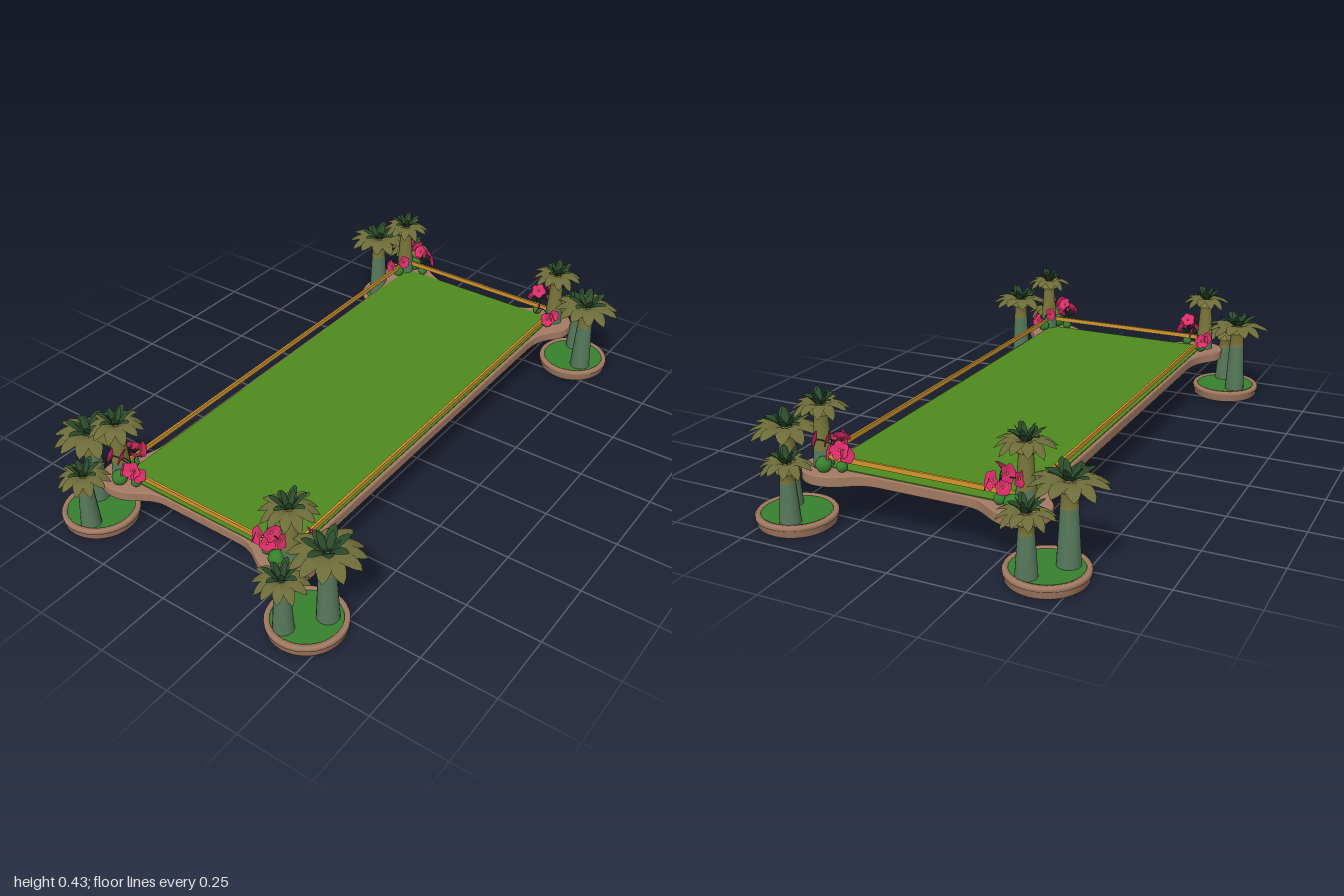
import * as THREE from 'three';
import { mergeGeometries } from 'three/addons/utils/BufferGeometryUtils.js';

function material(name, color, doubleSided = false) {
  const m = new THREE.MeshStandardMaterial({ color });
  m.name = name;
  if (doubleSided) m.side = THREE.DoubleSide;
  return m;
}

const mats = {
  wood: material('brown wood', 0xa27a62),
  darkWood: material('dark underside', 0x65493a),
  lawn: material('lawn green', 0x4f8a1e),
  grass: material('planter grass', 0x37802e),
  rail: material('golden rail', 0xd2962e),
  trunk: material('grey green trunk', 0x56785a),
  bark: material('olive bark', 0x7b773c),
  leaf: material('olive leaf', 0x6d6d3a, true),
  darkLeaf: material('dark leaf', 0x2b4a2a, true),
  petal: material('pink petal', 0xdc2c6a, true),
};

function add(parent, name, geometry, mat, x = 0, y = 0, z = 0) {
  const mesh = new THREE.Mesh(geometry, mat);
  mesh.name = name;
  mesh.position.set(x, y, z);
  parent.add(mesh);
  return mesh;
}

// Folded blade along +x that rises, then droops toward its rounded tip
function blade(length, width, rise, droop, fold = 0.15) {
  const n = 8, pos = [], idx = [];
  for (let i = 0; i <= n; i++) {
    const t = i / n;
    const w = 0.5 * width * Math.pow(Math.abs(Math.sin(Math.PI * (0.05 + 0.95 * Math.pow(t, 1.1)))), 0.6);
    const y = rise * t - droop * t * t;
    pos.push(length * t, y - w * fold, -w, length * t, y, 0, length * t, y - w * fold, w);
    if (i < n) for (const k of [0, 1]) {
      const a = i * 3 + k;
      idx.push(a, a + 1, a + 3, a + 1, a + 4, a + 3);
    }
  }
  const g = new THREE.BufferGeometry();
  g.setAttribute('position', new THREE.Float32BufferAttribute(pos, 3));
  g.setIndex(idx);
  g.computeVertexNormals();
  return g;
}

function ring(count, start, make) {
  return mergeGeometries(Array.from({ length: count }, (_, i) =>
    make(i).rotateY(start + (i / count) * Math.PI * 2)));
}

function lathe(points, sides = 20) {
  return new THREE.LatheGeometry(points.map(p => new THREE.Vector2(...p)), sides);
}

// Palm with a tapered two-tone trunk, flared collar and layered crown
function palm(height, reach, radius, split) {
  const g = new THREE.Group();
  g.name = 'palm';
  const top = height - 0.025, cut = top * split, mid = radius * (1 - 0.32 * split);
  add(g, 'lowerTrunk', lathe([[radius, 0], [mid, cut]]), mats.trunk);
  add(g, 'upperTrunk', lathe([[mid, cut], [radius * 0.68, top], [radius, top + 0.008],
    [radius, top + 0.016], [radius * 0.6, top + 0.019], [radius * 0.45, height + 0.012], [0, height + 0.014]]), mats.bark);
  const outer = ring(12, 0, i => blade(reach * (i % 3 ? 0.95 : 1), reach * 0.4, 0.085, 0.083 + (i % 3) * 0.009));
  const inner = ring(7, 0.3, i => blade(reach * 0.6, reach * 0.27, 0.09, 0.04 + (i % 2) * 0.015));
  const heart = ring(5, 0.1, () => blade(reach * 0.34, reach * 0.2, 0.07, 0.012));
  add(g, 'outerLeaves', outer, mats.leaf, 0, height, 0);
  add(g, 'innerLeaves', mergeGeometries([inner, heart]), mats.darkLeaf, 0, height, 0);
  return g;
}

// Round bush with any number of blossoms on curved stems
function flowerBush(radius, blossoms) {
  const g = new THREE.Group();
  g.name = 'flowerBush';
  add(g, 'bush', new THREE.SphereGeometry(radius, 16, 12), mats.grass, 0, radius * 0.8, 0);
  for (const [x, y, z, size] of blossoms) {
    const stem = new THREE.QuadraticBezierCurve3(new THREE.Vector3(0, radius, 0),
      new THREE.Vector3(0, y, 0), new THREE.Vector3(x, y, z));
    add(g, 'stem', new THREE.TubeGeometry(stem, 8, 0.002, 5), mats.darkLeaf);
    const flower = new THREE.Group();
    flower.name = 'blossom';
    add(flower, 'petals', ring(5, 0, () => blade(size, size * 0.95, size * 0.5, size * 0.3, -0.2)), mats.petal);
    add(flower, 'blossomCentre', new THREE.SphereGeometry(size * 0.13, 8, 6), mats.rail, 0, size * 0.1, 0);
    flower.position.set(x, y, z);
    flower.quaternion.setFromUnitVectors(new THREE.Vector3(0, 1, 0),
      new THREE.Vector3(x, 0.01, z).normalize());
    g.add(flower);
  }
  return g;
}

// Long slab outline with a round lobe flaring out of each corner
function deckShape() {
  const path = new THREE.Path();
  path.moveTo(0.81, 0);
  path.lineTo(0.81, 0.15);
  path.bezierCurveTo(0.812, 0.225, 0.873, 0.24, 0.874, 0.318);
  path.bezierCurveTo(0.874, 0.372, 0.835, 0.406, 0.785, 0.406);
  path.bezierCurveTo(0.725, 0.406, 0.725, 0.337, 0.61, 0.335);
  path.lineTo(0, 0.335);
  const quarter = path.getPoints(10);
  const flip = (sx, sy, reverse) => {
    const p = quarter.map(v => new THREE.Vector2(v.x * sx, v.y * sy));
    return (reverse ? p.reverse() : p).slice(0, -1);
  };
  return new THREE.Shape([...flip(1, 1), ...flip(-1, 1, true), ...flip(-1, -1), ...flip(1, -1, true)]);
}

export function createModel() {
  const model = new THREE.Group();
  model.name = 'gardenPlatform';

  // Deck, its dark underside and the lawn
  const outline = deckShape();
  const deck = new THREE.ExtrudeGeometry(outline, { depth: 0.026, bevelEnabled: true,
    bevelThickness: 0.005, bevelSize: 0.005, bevelOffset: -0.005, bevelSegments: 3 });
  add(model, 'deck', deck.rotateX(-Math.PI / 2), mats.wood, 0, 0.155, 0);
  add(model, 'deckUnderside', new THREE.ShapeGeometry(outline).rotateX(Math.PI / 2), mats.darkWood, 0, 0.149, 0);
  add(model, 'lawn', new THREE.BoxGeometry(1.61, 0.004, 0.65), mats.lawn, 0, 0.187, 0);

  // Rails floating along the four edges
  for (const s of [-1, 1]) {
    add(model, 'longRail', new THREE.BoxGeometry(1.6, 0.016, 0.008), mats.rail, 0, 0.222, s * 0.331);
    add(model, 'shortRail', new THREE.BoxGeometry(0.008, 0.016, 0.64), mats.rail, s * 0.808, 0.222, 0);
  }

  // Corner planters, palms and flowers
  for (const sx of [-1, 1]) for (const sz of [-1, 1]) {
    const corner = new THREE.Group();
    corner.name = 'cornerGarden';
    model.add(corner);
    const place = (obj, x, y, z) => {
      obj.position.set(sx * x, y, sz * z);
      corner.add(obj);
    };

    const pot = new THREE.Group();
    pot.name = 'planter';
    add(pot, 'planterDish', lathe([[0.116, 0.001], [0.121, 0.006], [0.122, 0.024],
      [0.126, 0.027], [0.126, 0.036], [0.122, 0.041], [0.109, 0.041], [0.107, 0.03]], 36), mats.wood);
    add(pot, 'planterUnderside', new THREE.CircleGeometry(0.117, 36).rotateX(Math.PI / 2), mats.darkWood);
    add(pot, 'planterGrass', new THREE.CylinderGeometry(0.108, 0.108, 0.006, 36), mats.grass, 0, 0.034, 0);
    place(pot, 0.838, 0, 0.417);

    place(palm(0.245, 0.122, 0.036, 0.8), 0.8, 0.035, 0.465);
    place(palm(0.18, 0.09, 0.033, 0.85), 0.91, 0.035, 0.388);
    place(palm(0.183, 0.093, 0.032, 0.35), 0.8, 0.187, 0.335);

    const mirror = list => list.map(([x, y, z, s]) => [sx * x, y, sz * z, s]);
    place(flowerBush(0.025, []), 0.835, 0.187, 0.31);
    place(flowerBush(0.017, mirror([[0.012, 0.1, 0.03, 0.029], [0.02, 0.075, -0.01, 0.03],
      [0.012, 0.058, -0.026, 0.026], [-0.012, 0.1, 0.004, 0.028], [0.02, 0.095, 0.07, 0.026],
      [0.022, 0.062, 0.022, 0.026]])), 0.815, 0.187, 0.26);
    place(flowerBush(0.02, mirror([[-0.028, 0.045, 0.012, 0.028], [-0.01, 0.055, 0.025, 0.025],
      [-0.012, 0.07, -0.03, 0.027]])), 0.752, 0.187, 0.335);
  }
  return model;
}
